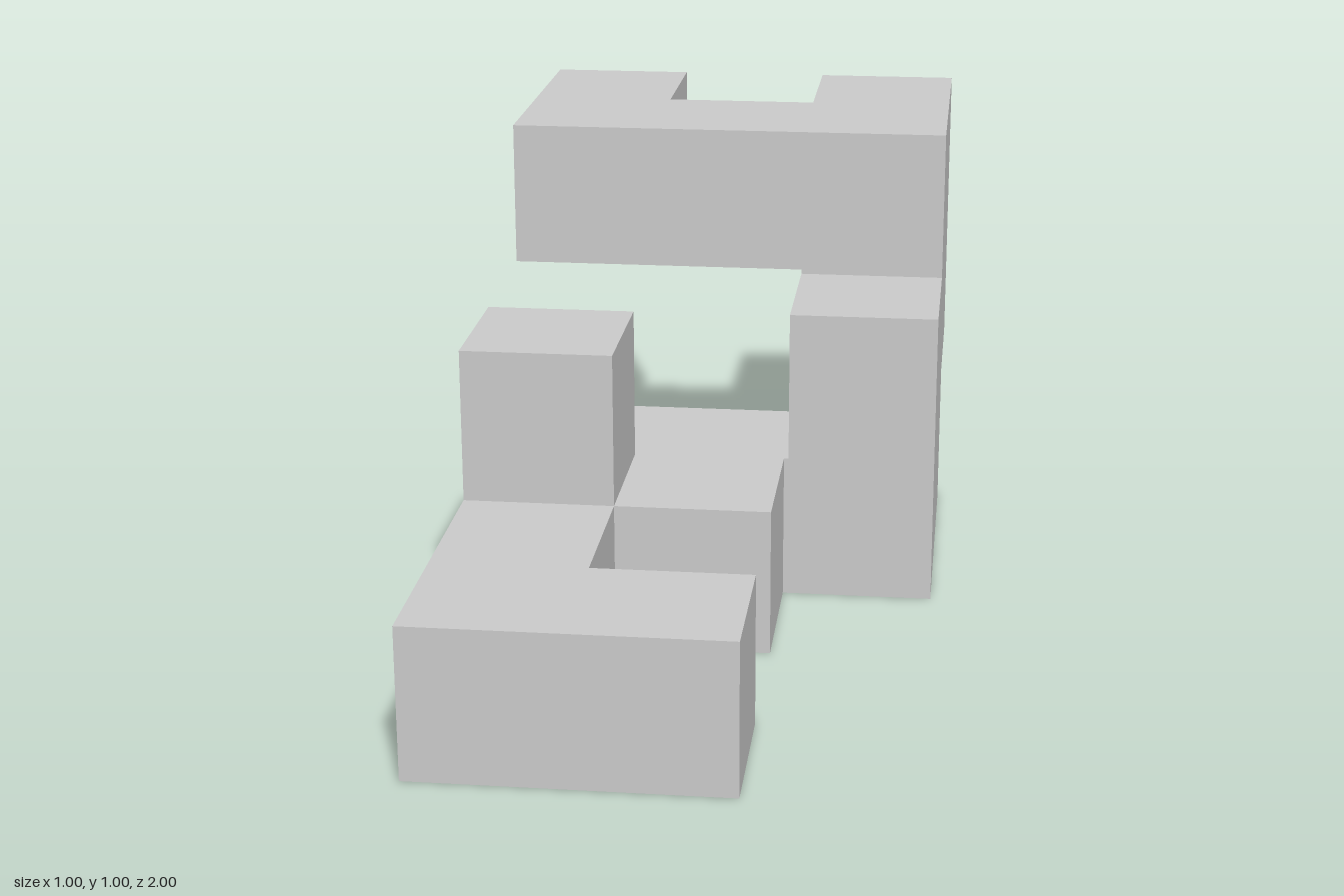
import * as THREE from 'three';

// Cubes of side SIZE sit on a lattice of step PITCH; touching cubes are bridged.
const SIZE = 0.325, PITCH = 0.335;
const COUNT = [3, 3, 6];
const ORIGIN = [-0.4975, 0, -1];

// Each part lists its lattice cells as [x, y, z].
const PARTS = {
  foot: [[1, 0, 5], [0, 0, 5], [0, 0, 4]],
  base: [[0, 0, 3], [1, 0, 3], [0, 0, 2], [1, 0, 2]],
  knob: [[0, 1, 3]],
  column: [[2, 0, 2], [2, 1, 2], [2, 0, 1], [2, 1, 1], [2, 1, 0]],
  topArm: [[2, 2, 1], [2, 2, 0], [1, 2, 1], [0, 2, 1], [0, 2, 0]],
};

const owner = new Map();
for (const [name, cells] of Object.entries(PARTS)) {
  for (const c of cells) owner.set(c.join(), name);
}

// Fine slabs: even index = cube, odd index = the narrow gap after it.
// A gap slab is solid only when every cube around it is present.
function ownerOf(slab) {
  let around = [[]];
  for (const i of slab) {
    const options = i % 2 ? [(i - 1) / 2, (i + 1) / 2] : [i / 2];
    around = around.flatMap((c) => options.map((o) => [...c, o]));
  }
  const names = around.map((c) => owner.get(c.join()));
  return names.every(Boolean) ? names[0] : null;
}

// Position of the start (end = 0) or finish (end = 1) of a slab along an axis
function edge(axis, i, end) {
  const k = i + end;
  return ORIGIN[axis] + Math.floor(k / 2) * PITCH + (k % 2 ? SIZE : 0);
}

// Outer faces of all slabs that belong to one part
function skin(name) {
  const positions = [], indices = [];
  const addFace = (slab, axis, side) => {
    const u = (axis + 1) % 3, v = (axis + 2) % 3;
    const start = positions.length / 3;
    for (const [a, b] of [[0, 0], [1, 0], [1, 1], [0, 1]]) {
      const p = [];
      p[axis] = edge(axis, slab[axis], side);
      p[u] = edge(u, slab[u], a);
      p[v] = edge(v, slab[v], b);
      positions.push(...p);
    }
    const order = side ? [0, 1, 2, 0, 2, 3] : [0, 2, 1, 0, 3, 2];
    indices.push(...order.map((o) => start + o));
  };
  for (let x = 0; x < 2 * COUNT[0] - 1; x++)
    for (let y = 0; y < 2 * COUNT[1] - 1; y++)
      for (let z = 0; z < 2 * COUNT[2] - 1; z++) {
        const slab = [x, y, z];
        if (ownerOf(slab) !== name) continue;
        for (let axis = 0; axis < 3; axis++)
          for (const side of [0, 1]) {
            const next = [...slab];
            next[axis] += side ? 1 : -1;
            if (!ownerOf(next)) addFace(slab, axis, side);
          }
      }
  const geometry = new THREE.BufferGeometry();
  geometry.setAttribute('position', new THREE.Float32BufferAttribute(positions, 3));
  geometry.setIndex(indices);
  geometry.computeVertexNormals();
  return geometry;
}

export function createModel() {
  const group = new THREE.Group();
  group.name = 'blockSculpture';
  const material = new THREE.MeshStandardMaterial({ color: 0xcccccc, flatShading: true });
  for (const name of Object.keys(PARTS)) {
    const mesh = new THREE.Mesh(skin(name), material);
    mesh.name = name;
    group.add(mesh);
  }
  return group;
}
